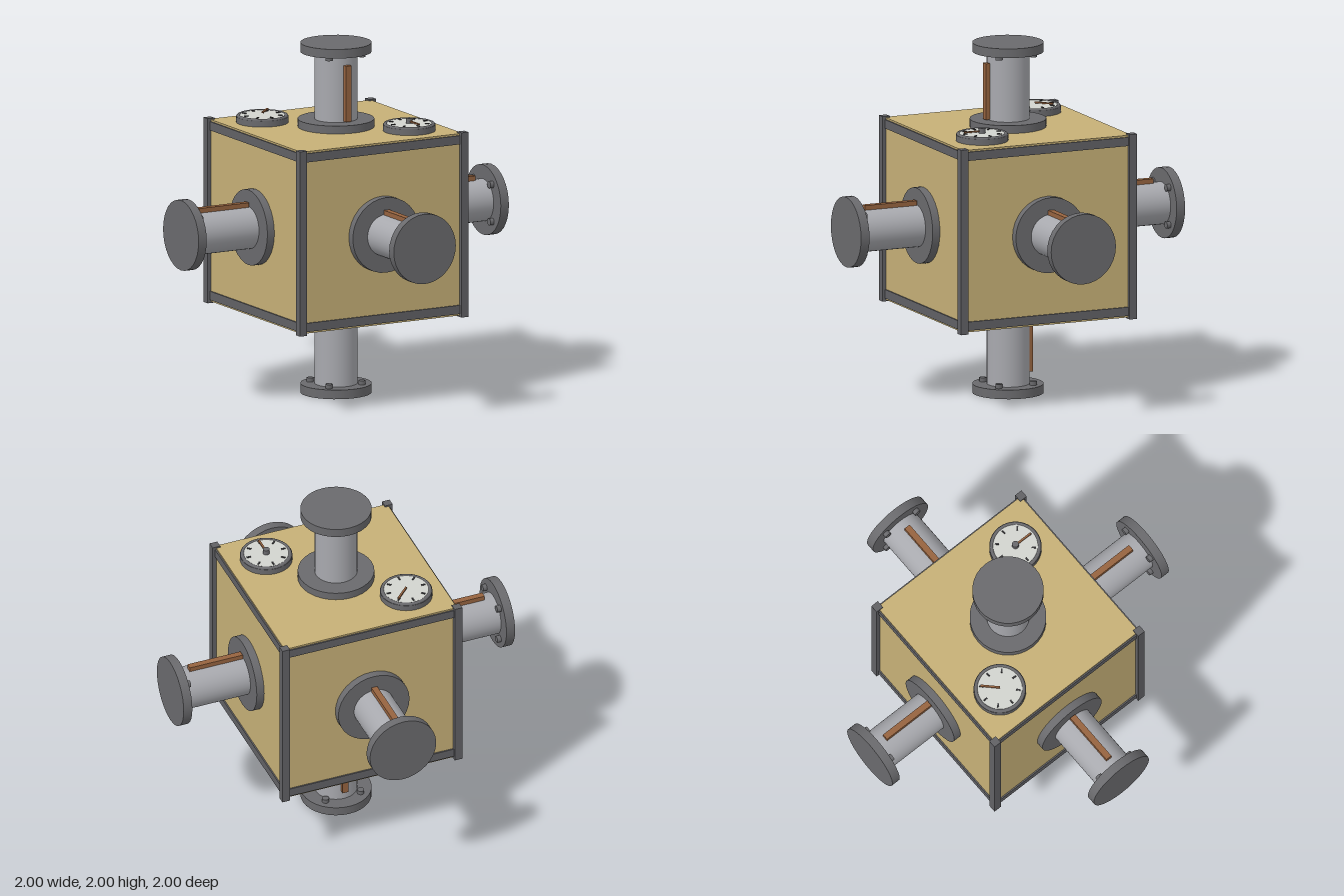
import * as THREE from 'three';

const mat = (name, color) => {
  const m = new THREE.MeshStandardMaterial({ color });
  m.name = name;
  return m;
};

export function createModel() {
  const brass = mat('brass panel', 0xc6b077);
  const iron = mat('dark iron', 0x6a6a6d);
  const frameIron = mat('frame iron', 0x616165);
  const steel = mat('pipe steel', 0xa8a9ae);
  const copper = mat('copper', 0x96633f);
  const dialWhite = mat('dial white', 0xd2d4cf);
  const tickBlack = mat('tick black', 0x3a3a3c);

  const model = new THREE.Group();
  model.name = 'pipeJunctionBox';

  const add = (parent, name, geo, material, x = 0, y = 0, z = 0) => {
    const mesh = new THREE.Mesh(geo, material);
    mesh.name = name;
    mesh.position.set(x, y, z);
    parent.add(mesh);
    return mesh;
  };
  const cyl = (r, h, n = 32) => new THREE.CylinderGeometry(r, r, h, n);
  const box = (x, y, z) => new THREE.BoxGeometry(x, y, z);

  // Everything is laid out around the centre of the cube
  const core = new THREE.Group();
  core.name = 'core';
  core.position.y = 1;
  model.add(core);
  add(core, 'body', box(1.04, 1.04, 1.04), brass);

  // Frame: corner posts and rails along the upper and lower edges
  for (const a of [-1, 1]) {
    for (const b of [-1, 1]) {
      add(core, 'cornerPost', box(0.046, 1.056, 0.046), frameIron, a * 0.52, 0, b * 0.52);
      add(core, 'railX', box(1.03, 0.05, 0.05), frameIron, 0, a * 0.485, b * 0.503);
      add(core, 'railZ', box(0.05, 0.05, 1.03), frameIron, b * 0.503, a * 0.485, 0);
    }
  }

  // One flanged pipe, built along local +y with its copper strip on local +z
  function pipe(name, dir, stripSide) {
    const g = new THREE.Group();
    g.name = name;
    add(g, 'baseFlange', cyl(0.215, 0.05), iron, 0, 0.54, 0);
    add(g, 'tube', cyl(0.12, 0.42), steel, 0, 0.76, 0);
    add(g, 'endFlange', cyl(0.2, 0.052), iron, 0, 0.974, 0);
    add(g, 'copperStrip', box(0.036, 0.32, 0.03), copper, 0, 0.73, 0.13);
    for (let i = 0; i < 4; i++) {
      const a = Math.PI / 4 + i * Math.PI / 2;
      add(g, 'bolt', cyl(0.02, 0.03, 12), iron, 0.15 * Math.cos(a), 0.94, 0.15 * Math.sin(a));
    }
    const y = new THREE.Vector3(...dir), z = new THREE.Vector3(...stripSide);
    const x = new THREE.Vector3().crossVectors(y, z);
    g.quaternion.setFromRotationMatrix(new THREE.Matrix4().makeBasis(x, y, z));
    core.add(g);
  }
  pipe('topPipe', [0, 1, 0], [0, 0, 1]);
  pipe('bottomPipe', [0, -1, 0], [0, 0, -1]);
  pipe('leftPipe', [1, 0, 0], [0, 1, 0]);
  pipe('rightPipe', [-1, 0, 0], [0, 1, 0]);
  pipe('frontPipe', [0, 0, 1], [0, 1, 0]);
  pipe('backPipe', [0, 0, -1], [0, 1, 0]);

  // Dial gauges on the top; needle points along local +z before turning
  function gauge(name, x, z, angle, hub) {
    const g = new THREE.Group();
    g.name = name;
    g.position.set(x, 0.52, z);
    add(g, 'housing', cyl(0.147, 0.034), iron, 0, 0.017, 0);
    const rim = add(g, 'rim', new THREE.TorusGeometry(0.134, 0.011, 8, 40), iron, 0, 0.034, 0);
    rim.rotation.x = Math.PI / 2;
    add(g, 'dialFace', cyl(0.126, 0.008), dialWhite, 0, 0.037, 0);
    for (let i = 0; i < 8; i++) {
      const a = i * Math.PI / 4;
      const tick = add(g, 'tick', box(0.009, 0.006, 0.024), tickBlack,
        0.104 * Math.sin(a), 0.043, 0.104 * Math.cos(a));
      tick.rotation.y = a;
    }
    const needle = new THREE.Group();
    needle.name = 'needle';
    needle.rotation.y = angle;
    add(needle, 'pointer', box(0.011, 0.008, 0.11), copper, 0, 0.053, 0.055);
    g.add(needle);
    if (hub) add(g, 'hub', cyl(0.019, 0.03, 16), iron, 0, 0.055, 0);
    core.add(g);
  }
  gauge('backGauge', -0.3, -0.305, Math.PI * 0.75, false);
  gauge('frontGauge', 0.3, 0.3, 0, true);

  return model;
}
